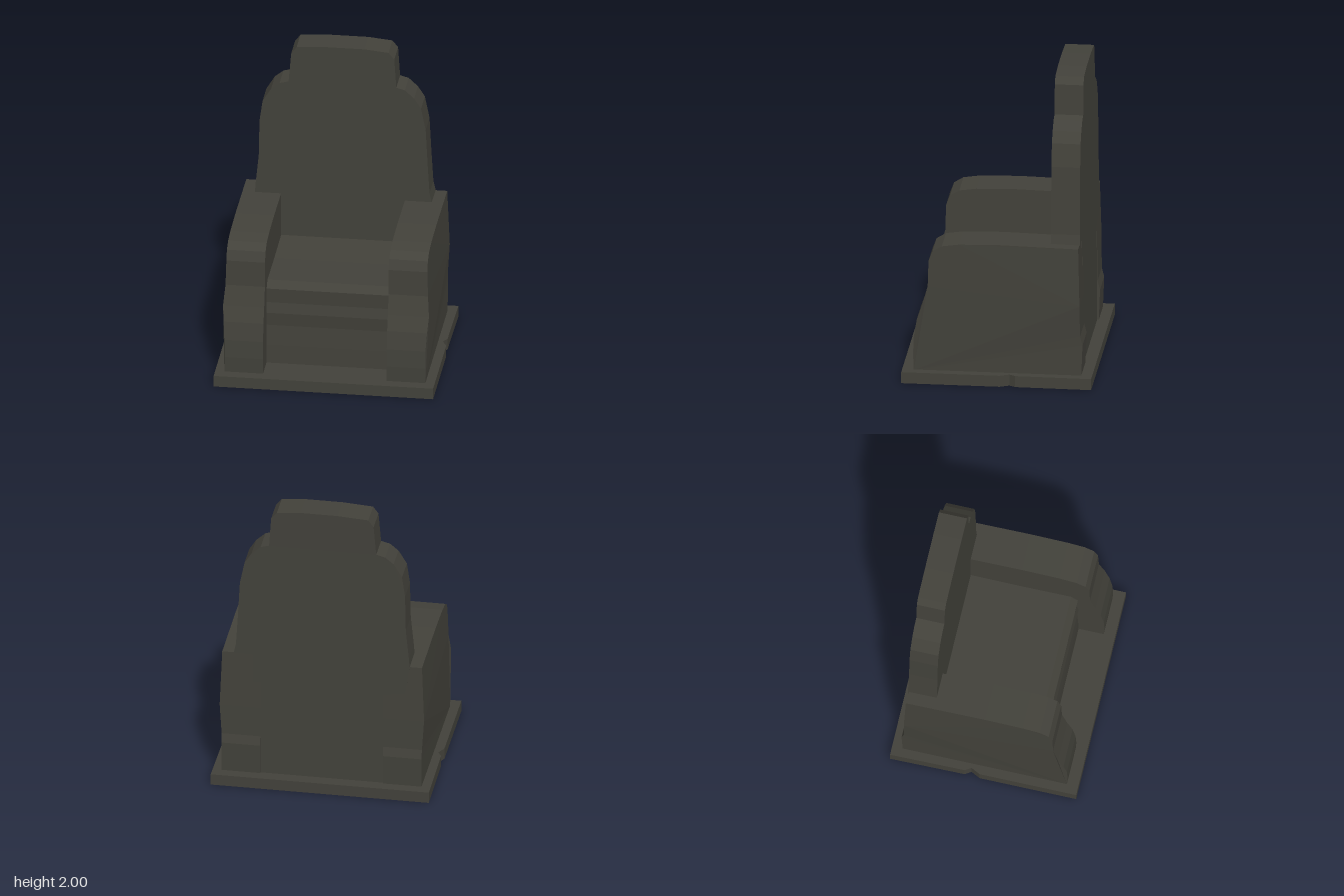
import * as THREE from 'three';

const stone = new THREE.MeshStandardMaterial({ color: 0x42413a, flatShading: true });
stone.name = 'dark stone';

const toShape = (points) => new THREE.Shape(points.map(([a, b]) => new THREE.Vector2(a, b)));
const extrude = (points, depth, steps = 1) =>
  new THREE.ExtrudeGeometry(toShape(points), { depth, steps, bevelEnabled: false });

// Extrudes a (z, y) side profile from x0 to x1
function sideExtrude(points, x0, x1) {
  return extrude(points, x1 - x0).rotateY(-Math.PI / 2).translate(x1, 0, 0);
}

// Moves every vertex by a rule
function warp(geometry, rule) {
  const p = geometry.attributes.position;
  const v = new THREE.Vector3();
  for (let i = 0; i < p.count; i++) {
    rule(v.fromBufferAttribute(p, i));
    p.setXYZ(i, v.x, v.y, v.z);
  }
  geometry.computeVertexNormals();
  return geometry;
}

export function createModel() {
  const group = new THREE.Group();
  const add = (name, geometry) => {
    const mesh = new THREE.Mesh(geometry, stone);
    mesh.name = name;
    group.add(mesh);
  };

  // Plinth slab with a chipped notch on each side
  const half = [[0.71, 0.61], [0.705, 0.12], [0.68, 0.08], [0.71, 0.02], [0.71, -0.615]];
  const outline = [...half, ...half.map(([x, y]) => [-x, y]).reverse()];
  add('plinth', extrude(outline, 0.075).rotateX(-Math.PI / 2));

  // Arms with a rounded top and a flared front
  const armProfile = [
    [-0.54, 0.07], [-0.548, 0.28], [-0.532, 0.34], [-0.53, 0.55], [-0.525, 0.75], [-0.52, 0.935],
    [0, 0.945], [0.25, 0.938], [0.36, 0.922], [0.42, 0.885], [0.445, 0.82], [0.45, 0.65],
    [0.485, 0.52], [0.52, 0.42], [0.54, 0.3], [0.545, 0.18], [0.54, 0.07],
  ];
  for (const side of [1, -1]) {
    const [x0, x1] = side > 0 ? [0.4, 0.65] : [-0.65, -0.4];
    const arm = warp(sideExtrude(armProfile, x0, x1), (v) => {
      // Slight swell halfway up the outer face
      if (Math.abs(v.x) > 0.5) v.x += side * 0.016 * Math.exp(-(((v.y - 0.52) / 0.12) ** 2));
    });
    add(side > 0 ? 'leftArm' : 'rightArm', arm);
  }

  // Seat block with a softened, uneven front edge
  add('seat', sideExtrude([
    [-0.45, 0.07], [-0.45, 0.645], [0, 0.638], [0.325, 0.643], [0.37, 0.6], [0.362, 0.5],
    [0.375, 0.43], [0.365, 0.34], [0.372, 0.2], [0.375, 0.07],
  ].reverse(), -0.41, 0.41));

  // Tall backrest with rounded shoulders and a narrow head panel
  const back = extrude([
    [-0.45, 0.07], [0.45, 0.07], [0.45, 0.93], [0.575, 0.935], [0.56, 1.0], [0.548, 1.2],
    [0.535, 1.45], [0.505, 1.6], [0.46, 1.67], [0.4, 1.725], [0.345, 1.74], [0.332, 1.94],
    [0.295, 1.985], [0.14, 2.0], [-0.1, 2.0], [-0.3, 1.987], [-0.335, 1.94], [-0.352, 1.74],
    [-0.41, 1.725], [-0.465, 1.68], [-0.52, 1.59], [-0.54, 1.45], [-0.545, 1.2], [-0.565, 1.0],
    [-0.57, 0.935],
  ], 0.185).translate(0, 0, -0.52);
  add('backrest', warp(back, (v) => {
    // The rear is a little thicker towards the bottom
    if (v.z < -0.5) v.z -= 0.01 * Math.max(0, 1 - v.y / 1.6);
  }));

  return group;
}
